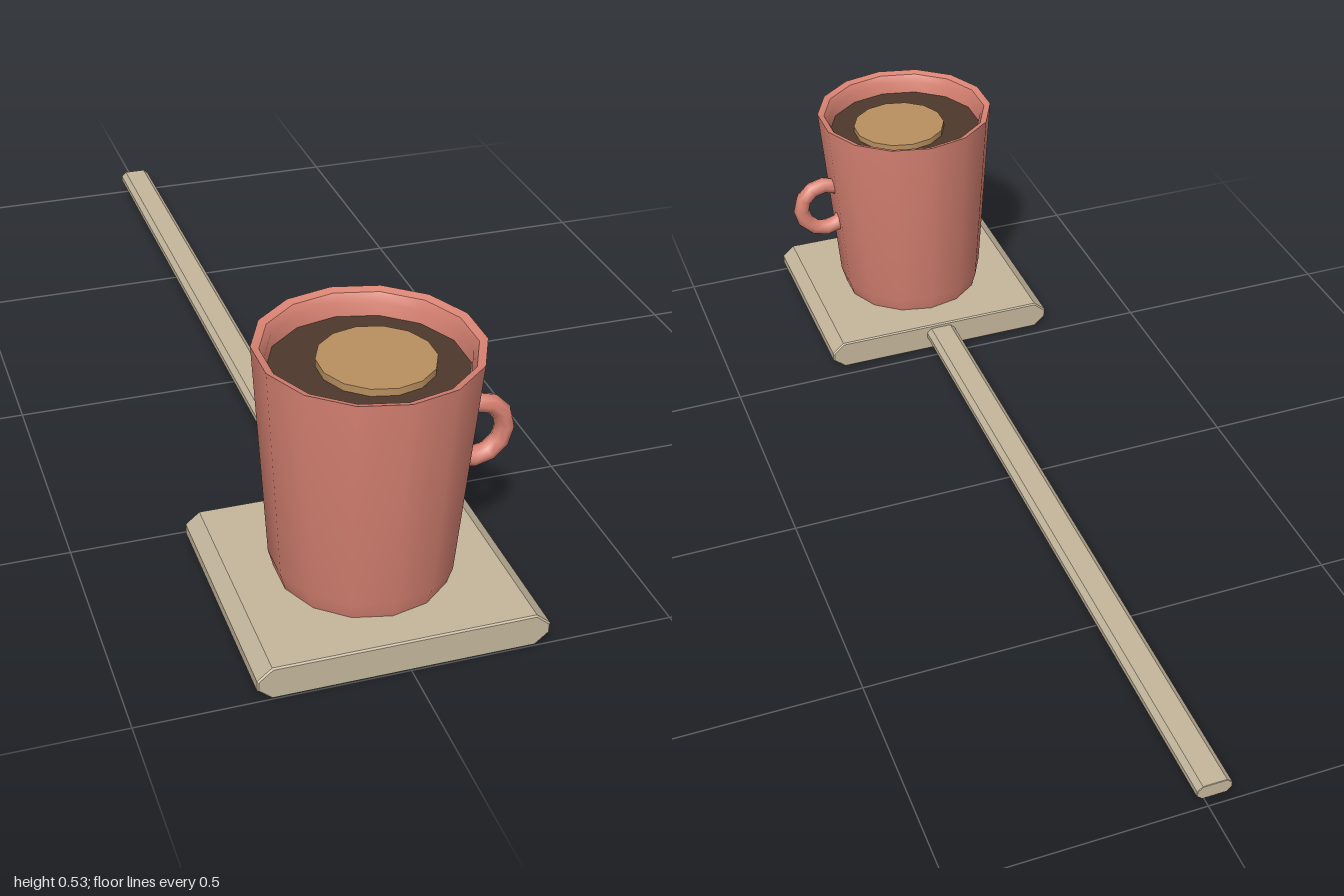
import * as THREE from 'three';
import { toCreasedNormals } from 'three/addons/utils/BufferGeometryUtils.js';

const CX = -0.01, CZ = 0.765, SIDES = 14;
const clay = new THREE.MeshStandardMaterial({ color: 0xd98373 });
const wood = new THREE.MeshStandardMaterial({ color: 0xc4b69c });
const coffee = new THREE.MeshStandardMaterial({ color: 0x4e382c });
const cream = new THREE.MeshStandardMaterial({ color: 0xb8905f });

function part(group, name, geometry, material, x, y, z) {
  const mesh = new THREE.Mesh(geometry, material);
  mesh.name = name;
  mesh.position.set(x, y, z);
  group.add(mesh);
  return mesh;
}

// Bar along z with chamfered long sides; half width w, height h, chamfer c, side flat f
function chamferedBar(w, h, c, f, length, bevel) {
  const lo = (h - f) / 2, hi = (h + f) / 2;
  const shape = new THREE.Shape([
    [-w + c, 0], [w - c, 0], [w, lo], [w, hi], [w - c, h], [-w + c, h], [-w, hi], [-w, lo],
  ].map(([x, y]) => new THREE.Vector2(x, y)));
  const geometry = new THREE.ExtrudeGeometry(shape, {
    depth: length - 2 * bevel, bevelEnabled: true, bevelSegments: 1,
    bevelSize: bevel, bevelThickness: bevel, bevelOffset: -bevel,
  });
  return geometry.translate(0, 0, bevel);
}

export function createModel() {
  const model = new THREE.Group();
  model.name = 'mugOnPaddle';

  // Serving board and its long handle
  part(model, 'board', chamferedBar(0.271, 0.066, 0.027, 0.02, 0.47, 0.003), wood, CX, 0, 0.53);
  part(model, 'boardHandle', chamferedBar(0.035, 0.032, 0.011, 0.012, 1.535, 0.001), wood, CX, 0.025, -1);

  // Mug: tapered wall, chamfered foot, thick rim and hollow inside
  const profile = [
    [0, 0.066], [0.162, 0.066], [0.172, 0.1], [0.205, 0.532],
    [0.19, 0.527], [0.181, 0.51], [0.177, 0.46], [0, 0.46],
  ].map(([r, y]) => new THREE.Vector2(r, y));
  const mug = toCreasedNormals(new THREE.LatheGeometry(profile, SIDES), 0.6);
  part(model, 'mug', mug, clay, CX, 0, CZ);

  // Ring handle
  part(model, 'mugHandle', new THREE.TorusGeometry(0.058, 0.019, 8, 12), clay, 0.2, 0.312, CZ - 0.005);

  // Drink with a disc of foam on top
  part(model, 'drink', new THREE.CylinderGeometry(0.179, 0.177, 0.025, SIDES), coffee, CX, 0.4715, CZ);
  part(model, 'foam', new THREE.CylinderGeometry(0.107, 0.107, 0.016, SIDES), cream, CX + 0.016, 0.49, CZ - 0.005);

  return model;
}
